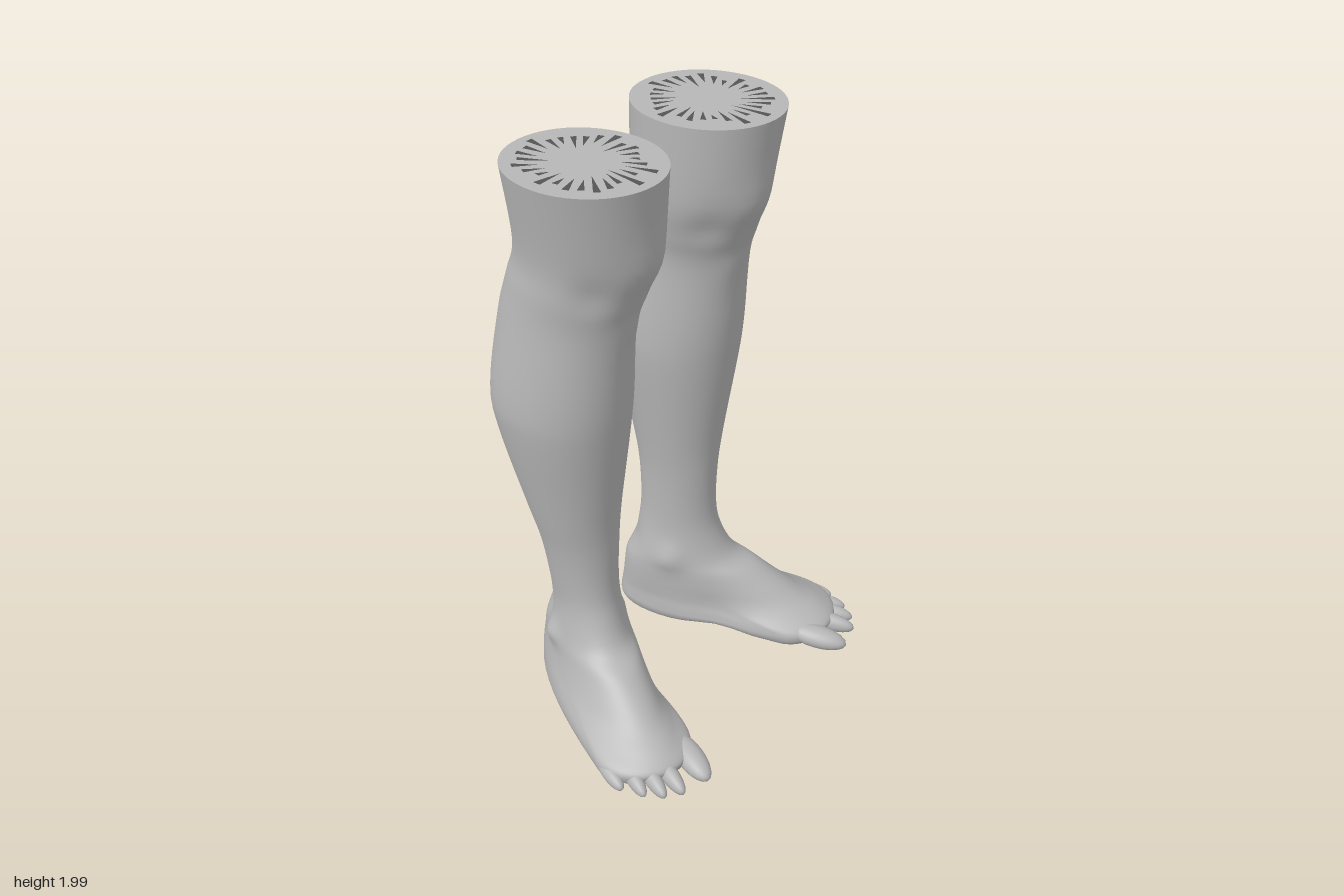
import * as THREE from 'three';

const skin = new THREE.MeshStandardMaterial({ color: 0xb6b6b6 });
skin.name = 'grey skin';
const dark = new THREE.MeshStandardMaterial({ color: 0x555555 });
dark.name = 'dark grey';

const SEG = 56, SUB = 5;
const { smoothstep, degToRad } = THREE.MathUtils;

// Horizontal slices, top to sole:
// [y, centre x, centre z, front, back, inner, outer radius]
const slices = [
  [2.00, 0.28, -0.10, 0.24, 0.25, 0.22, 0.22],
  [1.75, 0.26, -0.12, 0.23, 0.225, 0.195, 0.195],
  [1.62, 0.265, -0.16, 0.23, 0.22, 0.18, 0.19],
  [1.50, 0.28, -0.20, 0.23, 0.21, 0.18, 0.18],
  [1.25, 0.28, -0.235, 0.243, 0.215, 0.20, 0.206],
  [1.10, 0.28, -0.23, 0.22, 0.21, 0.195, 0.195],
  [0.80, 0.27, -0.21, 0.16, 0.16, 0.145, 0.145],
  [0.65, 0.258, -0.20, 0.14, 0.14, 0.116, 0.125],
  [0.50, 0.253, -0.195, 0.135, 0.135, 0.105, 0.11],
  [0.40, 0.253, -0.19, 0.148, 0.15, 0.108, 0.105],
  [0.30, 0.257, -0.19, 0.20, 0.18, 0.128, 0.115],
  [0.25, 0.265, -0.17, 0.27, 0.22, 0.13, 0.122],
  [0.20, 0.28, -0.134, 0.31, 0.265, 0.13, 0.13],
  [0.15, 0.308, -0.07, 0.32, 0.34, 0.132, 0.143],
  [0.115, 0.347, 0.022, 0.29, 0.445, 0.138, 0.158],
  [0.08, 0.405, 0.16, 0.19, 0.60, 0.152, 0.175],
  [0.05, 0.417, 0.188, 0.155, 0.63, 0.155, 0.178],
  [0.022, 0.417, 0.188, 0.135, 0.61, 0.142, 0.168],
  [0.006, 0.417, 0.188, 0.10, 0.56, 0.11, 0.135],
];

// Swellings and hollows: [x, y, z, height, spread]
const bumps = [
  [0.25, 1.74, 0.11, 0.014, 0.08],    // kneecap
  [0.12, 1.66, 0.02, -0.012, 0.06],   // hollows beside the knee
  [0.41, 1.66, 0.02, -0.012, 0.06],
  [0.25, 1.50, 0.03, 0.01, 0.06],     // shin head
  [0.36, 0.27, -0.25, 0.022, 0.04],   // outer ankle bone
  [0.14, 0.31, -0.15, 0.014, 0.05],   // inner ankle bone
  [0.31, 0.33, -0.32, -0.016, 0.05],  // hollows beside the heel tendon
  [0.17, 0.33, -0.31, -0.01, 0.05],
  [0.20, 0.07, 0.02, -0.018, 0.10],   // instep
];

function spline(a, b, c, d, t) {
  return 0.5 * (2 * b + (c - a) * t + (2 * a - 5 * b + 4 * c - d) * t * t + (3 * b - a - 3 * c + d) * t * t * t);
}

// All rings of one leg; side is +1 for left and -1 for right
function legRings(side) {
  const rings = [], last = slices.length - 1;
  const at = (i) => slices[Math.max(0, Math.min(last, i))];
  for (let k = 0; k <= last * SUB; k++) {
    const i = Math.min(Math.floor(k / SUB), last - 1), t = k / SUB - i;
    const [y, cx, cz, f, b, inner, outer] =
      at(i).map((v, c) => spline(at(i - 1)[c], v, at(i + 1)[c], at(i + 2)[c], t));
    // The slices turn outward below the calf, and the heel is blunter than the calf
    const turn = degToRad(23) * (1 - smoothstep(y, 0.3, 0.95));
    const roundness = 2.5 - 0.45 * smoothstep(y, 0.13, 0.32);
    const sin = Math.sin(turn), cos = Math.cos(turn), ring = [];
    for (let j = 0; j < SEG; j++) {
      const a = (j / SEG) * Math.PI * 2, c = Math.cos(a), s = Math.sin(a);
      const e = c < 0 ? 2 / roundness : 1;
      const u = (c > 0 ? f : -b) * Math.abs(c) ** e;
      const v = (s > 0 ? outer : -inner) * Math.abs(s) ** e;
      const p = new THREE.Vector3(cx + u * sin + v * cos, y, cz + u * cos - v * sin);
      const out = new THREE.Vector3(s * cos + c * sin, 0, c * cos - s * sin);
      let push = 0;
      for (const [bx, by, bz, h, w] of bumps) {
        push += h * Math.exp(-((p.x - bx) ** 2 + (p.y - by) ** 2 + (p.z - bz) ** 2) / (w * w));
      }
      p.addScaledVector(out, push);
      // Raised arch under the inner side of the foot
      if (y < 0.07) p.y += 0.03 * (1 - y / 0.07) * Math.exp(-((p.x - 0.22) ** 2 + (p.z - 0.02) ** 2) / 0.02);
      p.x *= side;
      ring.push(p);
    }
    rings.push(ring);
  }
  return rings;
}

function meshFrom(name, points, faces, side, material) {
  const g = new THREE.BufferGeometry().setFromPoints(points);
  g.setIndex(faces.flatMap(([a, b, c]) => (side > 0 ? [a, b, c] : [a, c, b])));
  g.computeVertexNormals();
  const mesh = new THREE.Mesh(g, material);
  mesh.name = name;
  return mesh;
}

function createLeg(side) {
  const leg = new THREE.Group();
  leg.name = side > 0 ? 'leftLeg' : 'rightLeg';
  const rings = legRings(side);

  // Shin, ankle and foot as one skin, closed at the sole
  const points = rings.flat(), faces = [];
  for (let i = 0; i < rings.length - 1; i++) {
    for (let j = 0; j < SEG; j++) {
      const k = (j + 1) % SEG, up = i * SEG, low = up + SEG;
      faces.push([low + j, low + k, up + k], [low + j, up + k, up + j]);
    }
  }
  const base = (rings.length - 1) * SEG;
  points.push(new THREE.Vector3(0.35 * side, 0.008, 0.03));
  for (let j = 0; j < SEG; j++) faces.push([points.length - 1, base + (j + 1) % SEG, base + j]);
  leg.add(meshFrom('legAndFoot', points, faces, side, skin));

  // Flat cut above the knee
  const rim = rings[0], centre = new THREE.Vector3(0.28 * side, 2, -0.11);
  const capFaces = rim.map((_, j) => [SEG, j, (j + 1) % SEG]);
  leg.add(meshFrom('cutTop', [...rim, centre], capFaces, side, skin));

  // Ragged dark streaks across the cut
  let seed = 7;
  const rand = () => (seed = (seed * 16807) % 2147483647) / 2147483647;
  const streakPoints = [], streakFaces = [];
  for (let j = 0; j < SEG; j += 2) {
    const inner = 0.35 + 0.2 * rand(), outer = 0.65 + 0.25 * rand(), n = streakPoints.length;
    for (const [q, r] of [[j, inner], [j, outer], [j + 1, outer]]) {
      const p = centre.clone().lerp(rim[q], r);
      p.y = 2.001;
      streakPoints.push(p);
    }
    streakFaces.push([n, n + 1, n + 2]);
  }
  leg.add(meshFrom('cutStreaks', streakPoints, streakFaces, side, dark));

  // Toes: [tip x, tip z, half width, half height, half length, turn]
  const toes = [
    [0.405, 0.445, 0.045, 0.038, 0.11, 20],
    [0.497, 0.418, 0.029, 0.034, 0.095, 20],
    [0.545, 0.380, 0.027, 0.032, 0.09, 22],
    [0.580, 0.325, 0.026, 0.030, 0.085, 24],
    [0.603, 0.250, 0.026, 0.028, 0.08, 20],
  ];
  toes.forEach(([x, z, w, h, l, deg], i) => {
    const a = degToRad(deg);
    const toe = new THREE.Mesh(new THREE.SphereGeometry(1, 20, 14), skin);
    toe.name = 'toe' + (i + 1);
    toe.scale.set(w, h, l);
    toe.rotation.set(0.1, a * side, 0, 'YXZ');
    toe.position.set((x - l * Math.sin(a)) * side, h + 0.018, z - l * Math.cos(a));
    leg.add(toe);
  });
  return leg;
}

export function createModel() {
  const model = new THREE.Group();
  model.name = 'lowerLegs';
  model.add(createLeg(1), createLeg(-1));
  return model;
}
